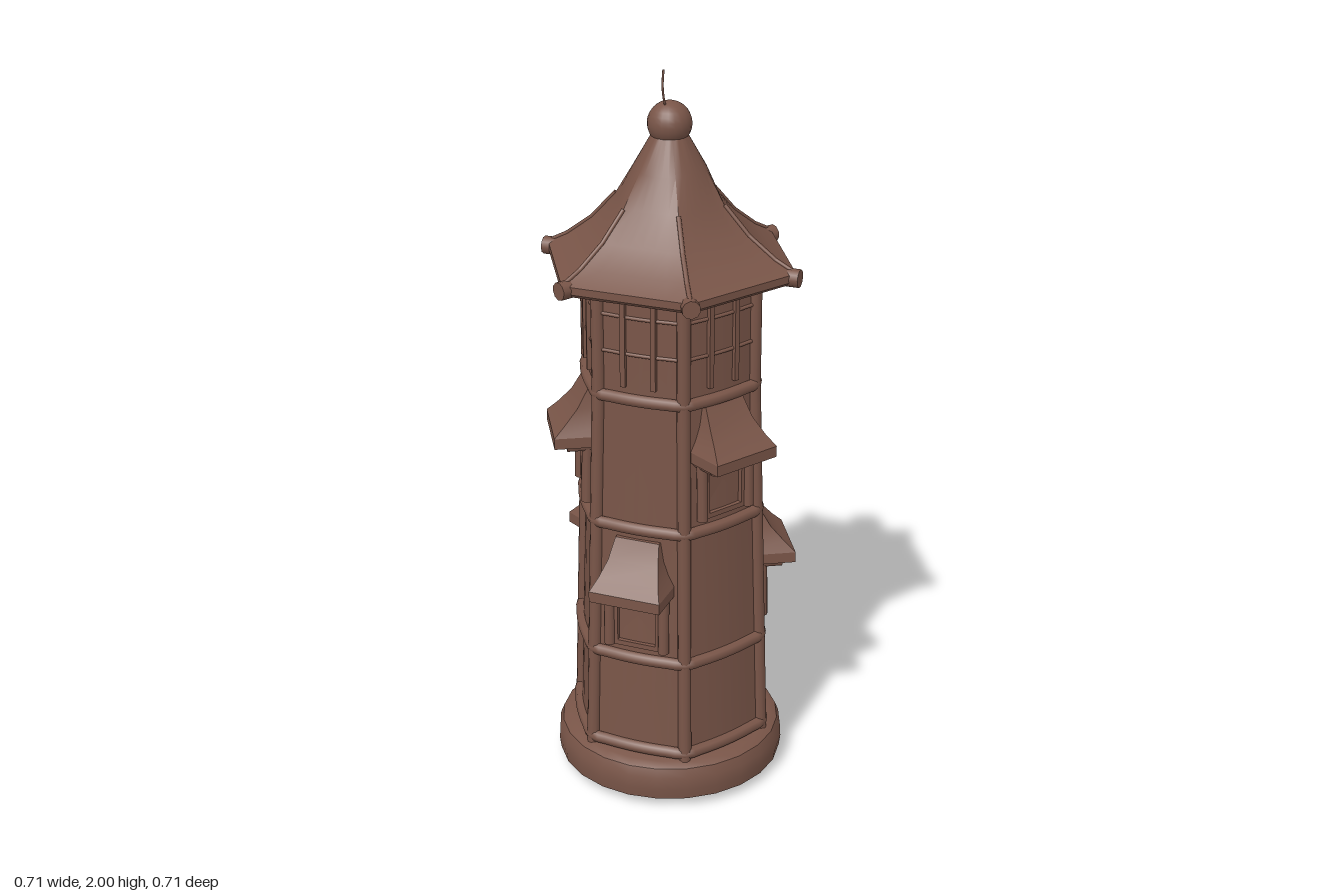
import * as THREE from 'three';
import { toCreasedNormals } from 'three/addons/utils/BufferGeometryUtils.js';

const mat = new THREE.MeshStandardMaterial({ color: 0x795548, side: THREE.DoubleSide });
const V = (x, y, z) => new THREE.Vector3(x, y, z);

function add(parent, name, geo, x = 0, y = 0, z = 0) {
  const m = new THREE.Mesh(geo, mat);
  m.name = name;
  m.position.set(x, y, z);
  parent.add(m);
  return m;
}

// Round beam between two points
function beam(parent, name, p, q, r, r2 = r) {
  const d = q.clone().sub(p);
  const m = add(parent, name, new THREE.CylinderGeometry(r2, r, d.length(), 10));
  m.position.copy(p).add(q).multiplyScalar(0.5);
  m.quaternion.setFromUnitVectors(V(0, 1, 0), d.normalize());
  return m;
}

// Skin over rings of points, listed bottom to top, capped at both ends
function loft(rings, crease = 0.4) {
  const pos = [], n = rings[0].length;
  const tri = (...pts) => pts.forEach(p => pos.push(p.x, p.y, p.z));
  for (let j = 0; j < rings.length - 1; j++) {
    for (let i = 0; i < n; i++) {
      const k = (i + 1) % n, l = rings[j], u = rings[j + 1];
      tri(l[i], u[i], l[k]);
      tri(l[k], u[i], u[k]);
    }
  }
  [rings[0], rings.at(-1)].forEach((ring, top) => {
    const c = ring.reduce((s, p) => s.add(p), V(0, 0, 0)).divideScalar(n);
    for (let i = 0; i < n; i++) {
      const k = (i + 1) % n;
      tri(c, ring[top ? k : i], ring[top ? i : k]);
    }
  });
  const g = new THREE.BufferGeometry();
  g.setAttribute('position', new THREE.Float32BufferAttribute(pos, 3));
  return toCreasedNormals(g, crease);
}

// Hexagon with bowed sides: k = 0 is straight, k = 1 is a circle
function hexRing(y, R, k, perSide = 6) {
  const pts = [];
  for (let i = 0; i < 6 * perSide; i++) {
    const a = i / perSide * Math.PI / 3;
    const hex = R * Math.cos(Math.PI / 6) / Math.cos(a % (Math.PI / 3) - Math.PI / 6);
    const r = hex + (R - hex) * k;
    pts.push(V(Math.cos(a) * r, y, Math.sin(a) * r));
  }
  return pts;
}

const BOW = 0.35;
const wallR = y => (y > 1.18 ? 0.237 : 0.237 + (1.18 - y) * 0.033);
const wallMid = y => wallR(y) * (0.866 + 0.134 * BOW);
const corner = (i, r, y) => V(Math.cos(i * Math.PI / 3) * r, y, Math.sin(i * Math.PI / 3) * r);

// Group turned so that its local +z points out of wall face i (1 = front, 4 = back)
function faceGroup(parent, name, i) {
  const g = new THREE.Group();
  g.name = name;
  g.rotation.y = Math.PI / 2 - (i + 0.5) * Math.PI / 3;
  parent.add(g);
  return g;
}

// Flared canopy from rows of [y, half width, reach], running back into the wall
function canopy(parent, name, rows, back) {
  add(parent, name, loft(rows.map(([y, w, z]) =>
    [V(w, y, back), V(w, y, z), V(-w, y, z), V(-w, y, back)]), 0.3));
}

// Rectangular frame with an opening
function frame(w, h, border, depth) {
  const s = new THREE.Shape([[-w, 0], [w, 0], [w, h], [-w, h]].map(p => new THREE.Vector2(...p)));
  const a = w - border;
  s.holes.push(new THREE.Path([[-a, border], [-a, h - border], [a, h - border], [a, border]]
    .map(p => new THREE.Vector2(...p))));
  return new THREE.ExtrudeGeometry(s, { depth, bevelEnabled: false });
}

function addWindow(tower, face, y) {
  const g = faceGroup(tower, 'window', face);
  const w = wallMid(y + 0.16);
  add(g, 'windowFrame', frame(0.068, 0.17, 0.014, 0.05), 0, y, w - 0.035);
  add(g, 'windowPane', new THREE.BoxGeometry(0.12, 0.16, 0.02), 0, y + 0.085, w - 0.008);
  for (const s of [-1, 1]) {
    beam(g, 'windowPost', V(s * 0.078, y, w + 0.014), V(s * 0.078, y + 0.18, w + 0.01), 0.015);
    beam(g, 'canopyBracket', V(s * 0.078, y + 0.165, w - 0.03), V(s * 0.078, y + 0.165, w + 0.065), 0.017);
  }
  canopy(g, 'windowCanopy', [
    [y + 0.165, 0.1, w + 0.1], [y + 0.195, 0.1, w + 0.1], [y + 0.225, 0.085, w + 0.07],
    [y + 0.265, 0.071, w + 0.035], [y + 0.32, 0.062, w + 0.004]], w - 0.06);
}

function addPorch(tower) {
  const g = faceGroup(tower, 'porch', 4);
  add(g, 'step', new THREE.BoxGeometry(0.21, 0.03, 0.12), 0, 0.015, 0.27);
  add(g, 'porchWalls', frame(0.105, 0.27, 0.025, 0.11), 0, 0.02, 0.215);
  add(g, 'door', new THREE.BoxGeometry(0.18, 0.24, 0.02), 0, 0.15, 0.303);
  for (const s of [-1, 1]) {
    beam(g, 'porchPost', V(s * 0.107, 0.02, 0.315), V(s * 0.107, 0.28, 0.315), 0.018);
    beam(g, 'porchBracket', V(s * 0.107, 0.275, 0.22), V(s * 0.107, 0.275, 0.36), 0.017);
  }
  canopy(g, 'porchRoof', [
    [0.275, 0.14, 0.377], [0.31, 0.14, 0.377], [0.335, 0.122, 0.325],
    [0.385, 0.1, 0.282], [0.45, 0.085, 0.25]], 0.18);
}

export function createModel() {
  const model = new THREE.Group();
  model.name = 'hexagonalTower';
  const tower = new THREE.Group();
  tower.name = 'tower';
  tower.position.z = 0.02;
  model.add(tower);

  // Hollow round foot
  const foot = [[0.295, 0.03], [0.313, 0.03], [0.317, 0.06], [0.315, 0.095], [0.305, 0.12], [0.285, 0.133], [0.23, 0.135]];
  add(tower, 'foot', toCreasedNormals(
    new THREE.LatheGeometry(foot.map(p => new THREE.Vector2(...p)), 24).toNonIndexed(), 0.6));

  // Walls, horizontal bands and thin rails
  add(tower, 'walls', loft([0.1, 0.13, 1.18, 1.48].map(y => hexRing(y, wallR(y), BOW))));
  const ringTube = (name, y, r, out) => add(tower, name, new THREE.TubeGeometry(
    new THREE.CatmullRomCurve3(hexRing(y, wallR(y) + out, BOW), true), 72, r, 8, true));
  for (const y of [0.15, 0.425, 0.81, 1.175]) ringTube('band', y, 0.017, 0.003);
  for (const y of [1.3, 1.4]) ringTube('rail', y, 0.005, 0.001);

  // Corner posts, wall studs, roof ridges and eave beam ends
  const roof = [[1.465, 0.335, 0], [1.475, 0.347, 0], [1.495, 0.347, 0], [1.525, 0.29, 0], [1.58, 0.218, 0.03],
    [1.655, 0.15, 0.1], [1.74, 0.098, 0.8], [1.83, 0.045, 1]];
  for (let i = 0; i < 6; i++) {
    const foot = corner(i, wallR(0.1), 0.1), mid = corner(i, wallR(1.18), 1.18);
    beam(tower, 'cornerPost', foot, mid, 0.018);
    beam(tower, 'upperPost', mid, corner(i, wallR(1.18), 1.48), 0.018);
    beam(tower, 'eaveBeam', corner(i, 0.2, 1.483), corner(i, 0.357, 1.483), 0.024);
    for (let j = 2; j < 5; j++) {
      const [p, q] = [roof[j], roof[j + 1]].map(([y, r]) => corner(i, r, y));
      beam(tower, 'roofRidge', p, q, 0.006);
    }
    const g = faceGroup(tower, 'studs', i);
    for (const s of [-1, 1]) {
      add(g, 'stud', new THREE.BoxGeometry(0.014, 0.26, 0.02), s * 0.042, 1.34, wallMid(1.3));
    }
  }

  // Flared roof, hexagonal at the eaves and round at the tip
  add(tower, 'roof', loft(roof.map(r => hexRing(...r))));

  // Finial with a small knob and a bent wire
  add(tower, 'finial', new THREE.SphereGeometry(0.058, 20, 14), 0, 1.855, 0);
  add(tower, 'finialKnob', new THREE.SphereGeometry(0.031, 14, 10), -0.028, 1.865, -0.02);
  const wire = new THREE.CatmullRomCurve3([V(-0.004, 1.89, 0.01), V(-0.004, 1.92, 0.028), V(-0.004, 1.96, 0.038), V(-0.004, 2, 0.032)]);
  add(tower, 'finialWire', new THREE.TubeGeometry(wire, 14, 0.003, 6));

  // Canopied windows, alternating low and high, with the porch at the back
  for (const face of [1, 3, 5]) addWindow(tower, face, 0.46);
  for (const face of [0, 2, 4]) addWindow(tower, face, 0.845);
  addPorch(tower);

  return model;
}
